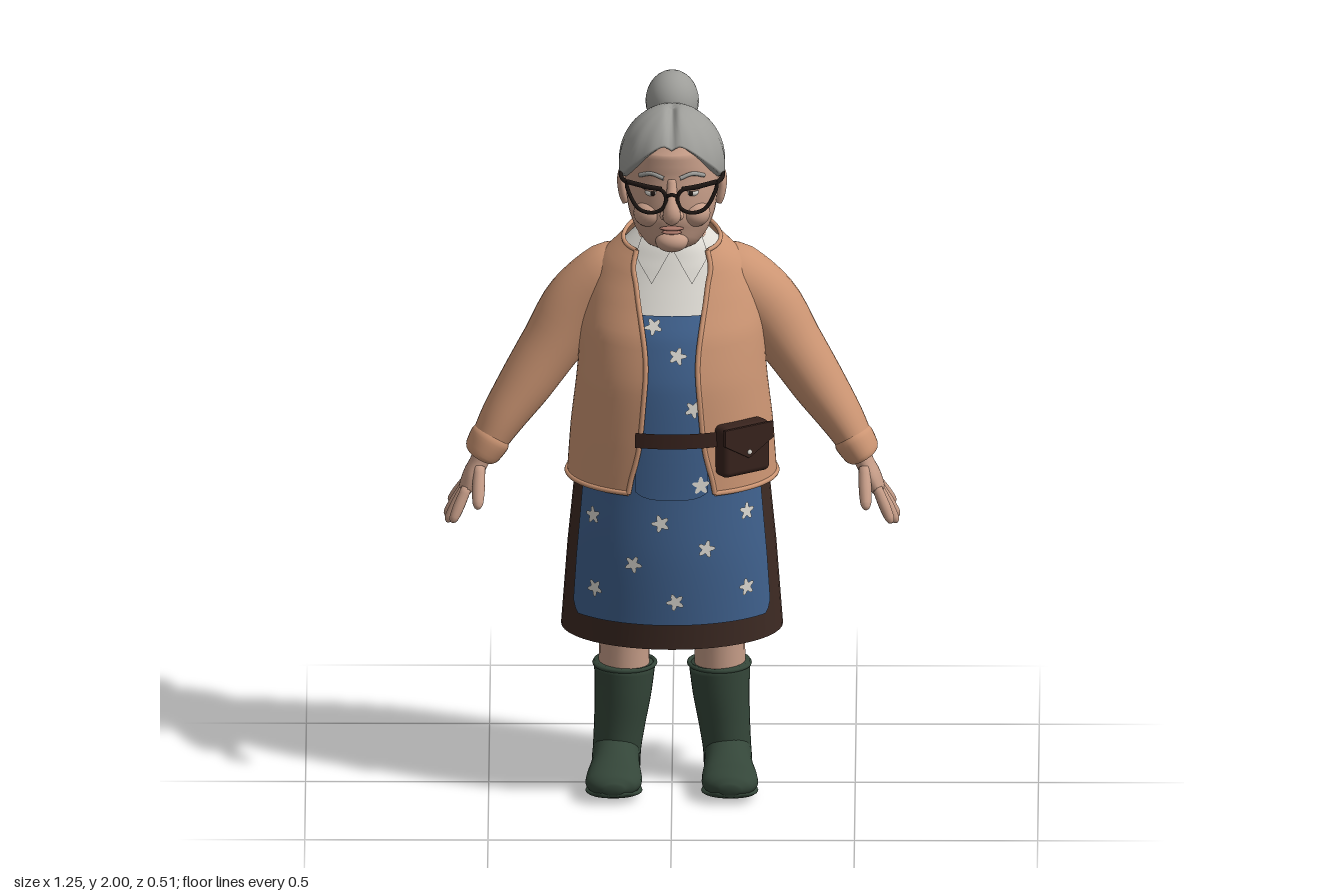
import * as THREE from 'three';
import { mergeVertices } from 'three/addons/utils/BufferGeometryUtils.js';
import { RoundedBoxGeometry } from 'three/addons/geometries/RoundedBoxGeometry.js';

const V = (x, y, z) => new THREE.Vector3(x, y, z);
const { lerp, smoothstep } = THREE.MathUtils;
const PI = Math.PI;

function material(name, color) {
  const m = new THREE.MeshStandardMaterial({ color, side: THREE.DoubleSide });
  m.name = name;
  return m;
}

// Smooth grid surface from fn(u, v) -> Vector3
function surf(fn, nu, nv) {
  const pos = [], idx = [];
  for (let j = 0; j <= nv; j++) for (let i = 0; i <= nu; i++) pos.push(...fn(i / nu, j / nv).toArray());
  for (let j = 0; j < nv; j++) for (let i = 0; i < nu; i++) {
    const a = j * (nu + 1) + i, c = a + nu + 1;
    idx.push(a, a + 1, c + 1, a, c + 1, c);
  }
  let g = new THREE.BufferGeometry();
  g.setAttribute('position', new THREE.Float32BufferAttribute(pos, 3));
  g.setIndex(idx);
  g = mergeVertices(g, 1e-5);
  g.computeVertexNormals();
  return g;
}

// Closed elliptical limb through rows [x, y, z, radiusA, radiusB]
function limb(rows, ref = V(0, 0, 1), nu = 20, steps = 4) {
  const path = new THREE.CatmullRomCurve3(rows.map(r => V(r[0], r[1], r[2])));
  const radii = new THREE.CatmullRomCurve3(rows.map(r => V(r[3], r[4], 0)));
  const n = (rows.length - 1) * steps;
  return surf((u, v) => {
    const k = Math.round(v * (n + 2)), s = Math.min(Math.max(k - 1, 0), n) / n;
    const p = path.getPoint(s), t = path.getTangent(s), r = radii.getPoint(s);
    if (k === 0 || k === n + 2) return p;
    const b = ref.clone().addScaledVector(t, -ref.dot(t)).normalize();
    const a = t.clone().cross(b), w = u * PI * 2;
    return p.addScaledVector(a, Math.sin(w) * r.x).addScaledVector(b, Math.cos(w) * r.y);
  }, nu, n + 2);
}

// Body outline: [y, half width, front z, back z]
const BODY = [
  [.455, .303, .222, -.25], [.7, .285, .232, -.23], [.91, .265, .223, -.2], [1.05, .255, .217, -.193],
  [1.2, .238, .205, -.178], [1.33, .23, .17, -.172], [1.43, .21, .118, -.17], [1.51, .175, .08, -.155],
  [1.56, .125, .058, -.138], [1.6, .085, .03, -.12], [1.64, .07, .01, -.11],
];
const bodyCurve = new THREE.CatmullRomCurve3(BODY.map(r => V(r[1], r[2], r[3])));
function bodyRow(y) {
  let i = 0;
  while (i < BODY.length - 2 && y > BODY[i + 1][0]) i++;
  const f = Math.min(Math.max((y - BODY[i][0]) / (BODY[i + 1][0] - BODY[i][0]), 0), 1);
  return bodyCurve.getPoint((i + f) / (BODY.length - 1));
}
// Point on the body at angle a (0 is the front)
function onBody(a, y, off = 0) {
  const r = bodyRow(y);
  return V((r.x + off) * Math.sin(a), y, (r.y + r.z) / 2 + ((r.y - r.z) / 2 + off) * Math.cos(a));
}
const angleAt = (x, y, off = 0) => Math.asin(Math.max(-.98, Math.min(.98, x / (bodyRow(y).x + off))));
const wrap = (a0, a1, y0, y1, off, nu = 48, nv = 24) => surf((u, v) => {
  const a = lerp(a0, a1, u);
  const lo = typeof y0 === 'function' ? y0(a) : y0, hi = typeof y1 === 'function' ? y1(a) : y1;
  return onBody(a, lerp(lo, hi, v), off);
}, nu, nv);
const neckline = (front, back) => a => lerp(front, back, (1 - Math.cos(a)) / 2);

export function createModel() {
  const root = new THREE.Group();
  root.name = 'grandmother';
  const M = {
    skin: material('skin', 0xc59c87), hair: material('grey hair', 0x9d9d99),
    wool: material('peach wool', 0xcc9573), white: material('white cotton', 0xdedbd4),
    apron: material('blue apron', 0x40628f), skirt: material('brown skirt', 0x3d2a23),
    leather: material('dark leather', 0x38231d), boot: material('green rubber', 0x344639),
    frame: material('black frame', 0x1d1613), lip: material('lip', 0xa97668),
  };
  const add = (parent, name, geo, mat, p = [0, 0, 0]) => {
    const m = new THREE.Mesh(geo, mat);
    m.name = name;
    m.position.set(...p);
    parent.add(m);
    return m;
  };
  const ball = (parent, name, mat, p, r) => {
    const m = add(parent, name, new THREE.SphereGeometry(1, 24, 16), mat, p);
    m.scale.set(...r);
    return m;
  };
  const tube = (pts, r, closed = false) =>
    new THREE.TubeGeometry(new THREE.CatmullRomCurve3(pts, closed), pts.length * 5, r, 8, closed);

  // Skirt, shirt and neck
  add(root, 'skirt', wrap(-PI, PI, .455, 1, 0), M.skirt);
  add(root, 'skirtUnderside', surf((u, v) => {
    const p = onBody(-u * PI * 2, .47, -.004);
    return V(p.x * v, .47, lerp(-.014, p.z, v));
  }, 48, 2), M.skirt);
  add(root, 'shirt', wrap(-PI, PI, .98, neckline(1.562, 1.628), 0), M.white);
  add(root, 'neck', wrap(-PI, PI, 1.5, 1.64, -.004), M.skin);

  // Apron with rounded lower corners, bib, pocket and scattered flowers
  add(root, 'apronSkirt', wrap(-1.06, 1.06, a => .53 + .035 * smoothstep(Math.abs(a), .96, 1.06) ** 2, 1.02, .013), M.apron);
  add(root, 'apronBib', wrap(-.5, .5, .98, 1.39, .009, 16), M.apron);
  add(root, 'apronPocket', wrap(-.36, .36, a => .89 + .02 * (a / .36) ** 4, .995, .017, 16, 8), M.apron);
  const flowers = [[.016, 1.29], [.06, 1.145], [-.05, 1.365], [-.03, .825], [-.215, .825], [.205, .84],
    [.095, .75], [-.105, .705], [-.21, .62], [.01, .6], [.205, .625], [.08, .93]];
  flowers.forEach(([x, y], i) => {
    const g = new THREE.CircleGeometry(.024, 30), p = g.attributes.position;
    for (let k = 1; k < p.count; k++) {
      const s = .8 + .28 * Math.cos(5 * (k - 1) / 30 * 2 * PI + i);
      p.setXY(k, p.getX(k) * s, p.getY(k) * s);
    }
    const off = y > 1 ? .014 : .0185, a = angleAt(x, y, off), at = onBody(a, y, off);
    const du = onBody(a + .02, y, off).sub(onBody(a - .02, y, off));
    const dv = onBody(a, y + .02, off).sub(onBody(a, y - .02, off));
    const m = add(root, 'flower', g, M.white, at.toArray());
    m.lookAt(at.clone().add(du.cross(dv).normalize()));
  });

  // Open cardigan with trimmed edges
  const OFF = .021, cardTop = neckline(1.542, 1.612);
  const edgeCurve = new THREE.SplineCurve([[.118, .905], [.088, 1.08], [.075, 1.23], [.07, 1.36], [.085, 1.46], [.1, 1.545]]
    .map(p => new THREE.Vector2(...p)));
  const cardigan = (u, v) => {
    const e = edgeCurve.getPoint(v), open = angleAt(e.x, e.y, OFF);
    const a = lerp(open, 2 * PI - open, u);
    return onBody(a, lerp(.905, cardTop(a), v), OFF);
  };
  add(root, 'cardigan', surf(cardigan, 64, 32), M.wool);
  const line = (n, f) => Array.from({ length: n + 1 }, (_, i) => f(i / n));
  add(root, 'cardiganHem', tube(line(30, t => cardigan(t, 0)), .007), M.wool);
  add(root, 'cardiganNeckTrim', tube(line(24, t => cardigan(t, 1)), .006), M.wool);
  for (const u of [0, 1]) add(root, 'cardiganFrontTrim', tube(line(16, t => cardigan(u, t)), .007), M.wool);

  // Belt and pouch
  add(root, 'belt', wrap(-.36, .6, 1.04, 1.082, .03, 20, 2), M.leather);
  const pouch = new THREE.Group();
  pouch.name = 'pouch';
  pouch.position.set(.192, 1.027, .187);
  pouch.rotation.y = .6;
  root.add(pouch);
  add(pouch, 'pouchBody', new RoundedBoxGeometry(.155, .145, .06, 4, .018), M.leather);
  const flap = new THREE.Shape([[-.078, .068], [-.078, .025], [0, -.02], [.078, .025], [.078, .068]]
    .map(p => new THREE.Vector2(...p)));
  add(pouch, 'pouchFlap', new THREE.ExtrudeGeometry(flap, { depth: .006, bevelSize: .002, bevelThickness: .002, bevelSegments: 2 }),
    M.leather, [0, 0, .028]);
  ball(pouch, 'pouchButton', M.white, [0, -.004, .037], [.007, .007, .004]);

  // Head and face
  add(root, 'head', limb([[0, 1.562, .085, .025, .025], [0, 1.577, .078, .065, .062], [0, 1.615, .058, .098, .095],
    [0, 1.66, .038, .117, .112], [0, 1.71, .02, .125, .125], [0, 1.77, 0, .128, .138], [0, 1.83, -.01, .122, .142],
    [0, 1.88, -.01, .09, .11], [0, 1.91, -.01, .04, .05]], undefined, 36), M.skin);
  add(root, 'nose', limb([[0, 1.775, .128, .012, .012], [0, 1.74, .147, .015, .016], [0, 1.705, .168, .022, .024],
    [0, 1.685, .172, .025, .025], [0, 1.67, .16, .014, .014]]), M.skin);
  ball(root, 'chin', M.skin, [0, 1.598, .122], [.045, .03, .036]);
  ball(root, 'upperLip', M.lip, [0, 1.643, .149], [.034, .006, .012]);
  ball(root, 'lowerLip', M.lip, [0, 1.632, .149], [.028, .006, .011]);

  // Hair cap with a centre parting, plus the bun
  const hairLine = a => lerp(lerp(1.868, 1.748, smoothstep(a, .1, 1.45)), 1.63, smoothstep(a, 1.65, 2.35));
  add(root, 'hair', surf((u, v) => {
    const a = lerp(-PI, PI, u), yb = hairLine(Math.abs(a));
    const th = Math.acos((yb - 1.78) / .165) * Math.min(1, (1 - v) / .95);
    let s = Math.sin(th);
    if (th > PI / 2) s = s ** .55;
    if (v < .04) s *= .84;
    let x = .146 * s * Math.sin(a), z = -.008 + (Math.cos(a) > 0 ? .166 : .157) * s * Math.cos(a);
    const dent = .014 * Math.exp(-((x / .012) ** 2)) * smoothstep(z, -.08, .02);
    const wave = 1 + .012 * Math.cos(a * 14) * s;
    return V(x * wave, 1.78 + .165 * Math.cos(th) - dent, z * wave - dent * .5);
  }, 72, 28), M.hair);
  ball(root, 'hairBun', M.hair, [0, 1.915, -.138], [.073, .085, .087]);
  ball(root, 'bunKnot', M.hair, [0, 1.925, -.203], [.03, .035, .026]);
  add(root, 'glassesBridge', tube([V(-.017, 1.742, .172), V(0, 1.75, .178), V(.017, 1.742, .172)], .005), M.frame);

  // Mirrored parts
  for (const s of [1, -1]) {
    const side = new THREE.Group();
    side.name = s > 0 ? 'leftSide' : 'rightSide';
    side.scale.x = s;
    root.add(side);

    // Face details and glasses
    ball(side, 'cheek', M.skin, [.062, 1.672, .1], [.043, .038, .042]);
    ball(side, 'nostril', M.skin, [.02, 1.682, .155], [.013, .013, .016]);
    ball(side, 'eye', M.white, [.052, 1.738, .118], [.021, .012, .015]);
    ball(side, 'pupil', M.frame, [.052, 1.738, .13], [.007, .008, .005]);
    ball(side, 'eyelid', M.skin, [.052, 1.749, .12], [.025, .008, .016]);
    add(side, 'eyebrow', tube([V(.022, 1.783, .137), V(.055, 1.793, .126), V(.088, 1.781, .102)], .006), M.hair);
    add(side, 'ear', limb([[.125, 1.665, -.008, .01, .008], [.131, 1.685, -.012, .013, .017], [.137, 1.725, -.02, .013, .027],
      [.136, 1.75, -.022, .011, .022], [.132, 1.765, -.02, .005, .008]]), M.skin);
    add(side, 'lensFrame', tube([V(.016, 1.742, .172), V(.03, 1.762, .171), V(.07, 1.766, .163), V(.122, 1.775, .145),
      V(.112, 1.735, .15), V(.088, 1.702, .16), V(.052, 1.695, .168), V(.024, 1.71, .172)], .0055, true), M.frame);
    add(side, 'browBar', tube([V(.028, 1.764, .172), V(.07, 1.769, .164), V(.122, 1.777, .146)], .007), M.frame);
    add(side, 'glassesTemple', tube([V(.122, 1.774, .146), V(.137, 1.77, .09), V(.139, 1.762, -.01)], .006), M.frame);

    // Shirt collar flap laid over the chest
    add(side, 'collarFlap', surf((u, v) => {
      const x = lerp(lerp(.055, .1, u), lerp(.004, .072, u), v);
      const y = lerp(lerp(1.468, 1.535, u), lerp(1.552, 1.608, u), v);
      return onBody(angleAt(x, y, .012), y, .012);
    }, 10, 10), M.white);

    // Sleeve, cuff and hand
    add(side, 'sleeve', limb([[.08, 1.485, -.06, .055, .07], [.165, 1.44, -.06, .094, .102], [.25, 1.36, -.06, .098, .1],
      [.33, 1.245, -.045, .084, .092], [.4, 1.14, -.025, .074, .085], [.465, 1.045, -.005, .06, .077],
      [.516, .957, .01, .045, .066]], undefined, 28), M.wool);
    add(side, 'cuff', limb([[.488, 1.005, .003, .05, .07], [.497, .99, .006, .056, .075], [.517, .957, .01, .051, .071],
      [.522, .948, .01, .044, .063]], undefined, 28), M.wool);
    add(side, 'palm', limb([[.505, .975, .01, .028, .038], [.525, .93, .015, .026, .038], [.545, .89, .018, .026, .05],
      [.562, .855, .018, .02, .05], [.568, .842, .018, .01, .035]]), M.skin);
    const finger = (name, a, b, r) => {
      const rows = [[0, .9], [.5, 1], [.85, .85], [.96, .55], [1, .2]].map(([t, k]) =>
        [lerp(a[0], b[0], t), lerp(a[1], b[1], t), lerp(a[2], b[2], t), r * k, r * k]);
      add(side, name, limb(rows, undefined, 12, 3), M.skin);
    };
    finger('indexFinger', [.56, .865, .055], [.6, .775, .088], .0155);
    finger('middleFinger', [.563, .86, .03], [.614, .763, .046], .016);
    finger('ringFinger', [.563, .86, .004], [.618, .768, .006], .015);
    finger('littleFinger', [.56, .868, -.02], [.608, .795, -.036], .0135);
    finger('thumb', [.525, .92, .045], [.53, .825, .122], .0175);

    // Leg and rubber boot
    add(side, 'leg', limb([[.132, .28, -.042, .07, .075], [.13, .4, -.042, .069, .075], [.128, .52, -.042, .074, .08]]), M.skin);
    add(side, 'bootShaft', limb([[.129, .335, -.047, .084, .087], [.134, .25, -.045, .078, .083], [.143, .16, -.042, .07, .075],
      [.15, .09, -.042, .066, .073], [.153, .03, -.046, .066, .068], [.153, .008, -.046, .062, .064]], undefined, 28), M.boot);
    const rim = add(side, 'bootRim', new THREE.TorusGeometry(.083, .006, 8, 32), M.boot, [.129, .33, -.047]);
    rim.rotation.x = PI / 2;
    add(side, 'bootFoot', limb([[.153, .05, -.11, .03, .03], [.153, .055, -.08, .062, .05], [.153, .075, -.02, .065, .068],
      [.154, .066, .04, .066, .056], [.157, .053, .1, .075, .045], [.159, .049, .15, .077, .041],
      [.159, .046, .185, .06, .032], [.158, .044, .205, .025, .014]], V(0, 1, 0), 28), M.boot);
    add(side, 'bootSole', limb([[.153, .018, -.112, .035, .012], [.153, .016, -.085, .063, .016], [.153, .02, -.02, .06, .016],
      [.155, .022, .04, .062, .014], [.158, .018, .12, .078, .015], [.159, .026, .175, .066, .014],
      [.158, .033, .2, .03, .01]], V(0, 1, 0), 28), M.boot);
    add(side, 'bootHeel', new THREE.CylinderGeometry(.064, .062, .03, 28), M.boot, [.153, .015, -.052]);
  }
  return root;
}
